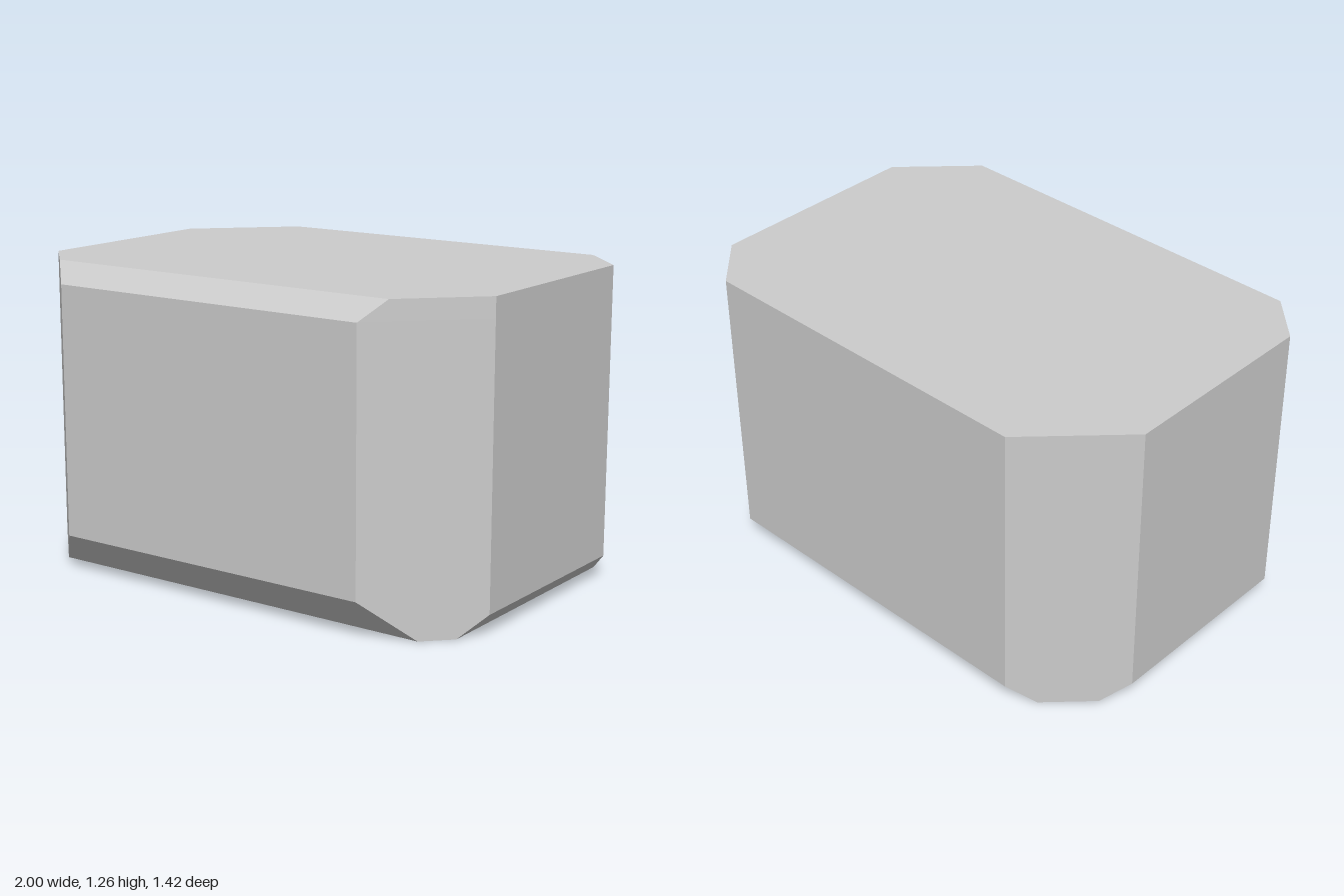
import * as THREE from 'three';

const HEIGHT = 1.26;
const HALF_X = 1, HALF_Z = 0.71;
// size of each 45 degree chamfer
const CORNER = { frontRight: 0.35, backRight: 0.19, backLeft: 0.34, frontLeft: 0.25 };
const EDGE = { bottomFront: 0.162, bottomOther: 0.087, topFront: 0.08 };

// Eight-sided horizontal section, counter-clockwise from above
function section(y) {
  const front = HALF_Z - Math.max(0, EDGE.bottomFront - y, y - (HEIGHT - EDGE.topFront));
  const inset = Math.max(0, EDGE.bottomOther - y);
  const x = HALF_X - inset, back = HALF_Z - inset;
  // each corner plane satisfies |x| + |z| = constant
  const sum = (c) => HALF_X + HALF_Z - c;
  const fr = sum(CORNER.frontRight), br = sum(CORNER.backRight);
  const bl = sum(CORNER.backLeft), fl = sum(CORNER.frontLeft);
  return [
    [front - fl, front], [fr - front, front],
    [x, fr - x], [x, x - br],
    [br - back, -back], [back - bl, -back],
    [-x, x - bl], [-x, fl - x],
  ].map(([px, pz]) => new THREE.Vector3(px, y, pz));
}

function blockGeometry() {
  const levels = [0, EDGE.bottomOther, EDGE.bottomFront, HEIGHT - EDGE.topFront, HEIGHT];
  const rings = levels.map(section);
  const points = [];

  // walls and chamfers between neighbouring sections
  for (let r = 0; r < rings.length - 1; r++) {
    const low = rings[r], high = rings[r + 1];
    for (let i = 0; i < 8; i++) {
      const j = (i + 1) % 8;
      points.push(low[i], low[j], high[j], low[i], high[j], high[i]);
    }
  }

  // flat bottom and top
  const bottom = rings[0], top = rings[rings.length - 1];
  for (let i = 1; i < 7; i++) {
    points.push(bottom[0], bottom[i + 1], bottom[i]);
    points.push(top[0], top[i], top[i + 1]);
  }

  const geometry = new THREE.BufferGeometry().setFromPoints(points);
  geometry.computeVertexNormals();
  return geometry;
}

export function createModel() {
  const group = new THREE.Group();
  group.name = 'chamferedBlock';
  const material = new THREE.MeshStandardMaterial({ color: 0xcccccc, flatShading: true });
  const block = new THREE.Mesh(blockGeometry(), material);
  block.name = 'block';
  group.add(block);
  return group;
}
